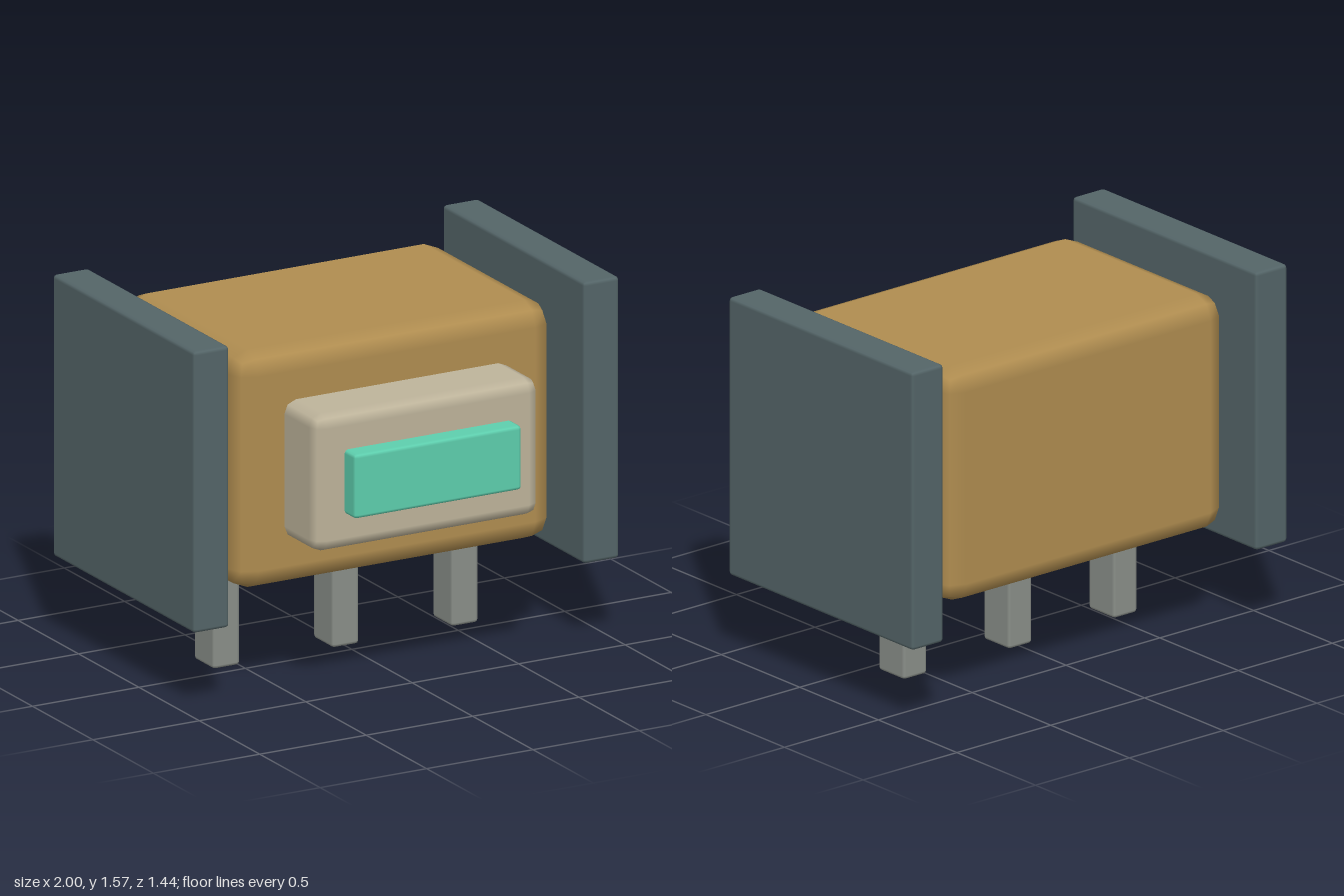
import * as THREE from 'three';
import { RoundedBoxGeometry } from 'three/addons/geometries/RoundedBoxGeometry.js';

function material(name, color) {
  const m = new THREE.MeshStandardMaterial({ color });
  m.name = name;
  return m;
}

export function createModel() {
  const group = new THREE.Group();
  group.name = 'model';

  const ochre = material('ochre', 0xb08d50);
  const sand = material('sand', 0xbeb49b);
  const mint = material('mint', 0x5ecfae);
  const slate = material('slate', 0x546568);
  const grey = material('grey', 0x8a8f89);

  // Softly bevelled box given by its extents on each axis
  function box(name, mat, [x0, x1], [y0, y1], [z0, z1], bevel) {
    const geometry = new RoundedBoxGeometry(x1 - x0, y1 - y0, z1 - z0, 1, bevel);
    const mesh = new THREE.Mesh(geometry, mat);
    mesh.position.set((x0 + x1) / 2, (y0 + y1) / 2, (z0 + z1) / 2);
    mesh.name = name;
    group.add(mesh);
  }

  // Main body, with the raised front panel and its screen
  box('body', ochre, [-0.745, 0.745], [0.455, 1.48], [-0.645, 0.375], 0.095);
  box('frontPanel', sand, [-0.53, 0.53], [0.67, 1.262], [0.2, 0.633], 0.055);
  box('screen', mint, [-0.393, 0.393], [0.828, 1.105], [0.56, 0.718], 0.016);

  // Tall side plates standing clear of the body
  box('leftPlate', slate, [0.832, 1], [0.36, 1.572], [-0.718, 0.456], 0.016);
  box('rightPlate', slate, [-1, -0.832], [0.36, 1.572], [-0.718, 0.456], 0.016);

  // Row of three legs
  [['rightLeg', -0.56], ['middleLeg', 0], ['leftLeg', 0.56]].forEach(([name, x]) =>
    box(name, grey, [x - 0.063, x + 0.063], [0, 0.56], [-0.213, -0.047], 0.015));

  return group;
}
